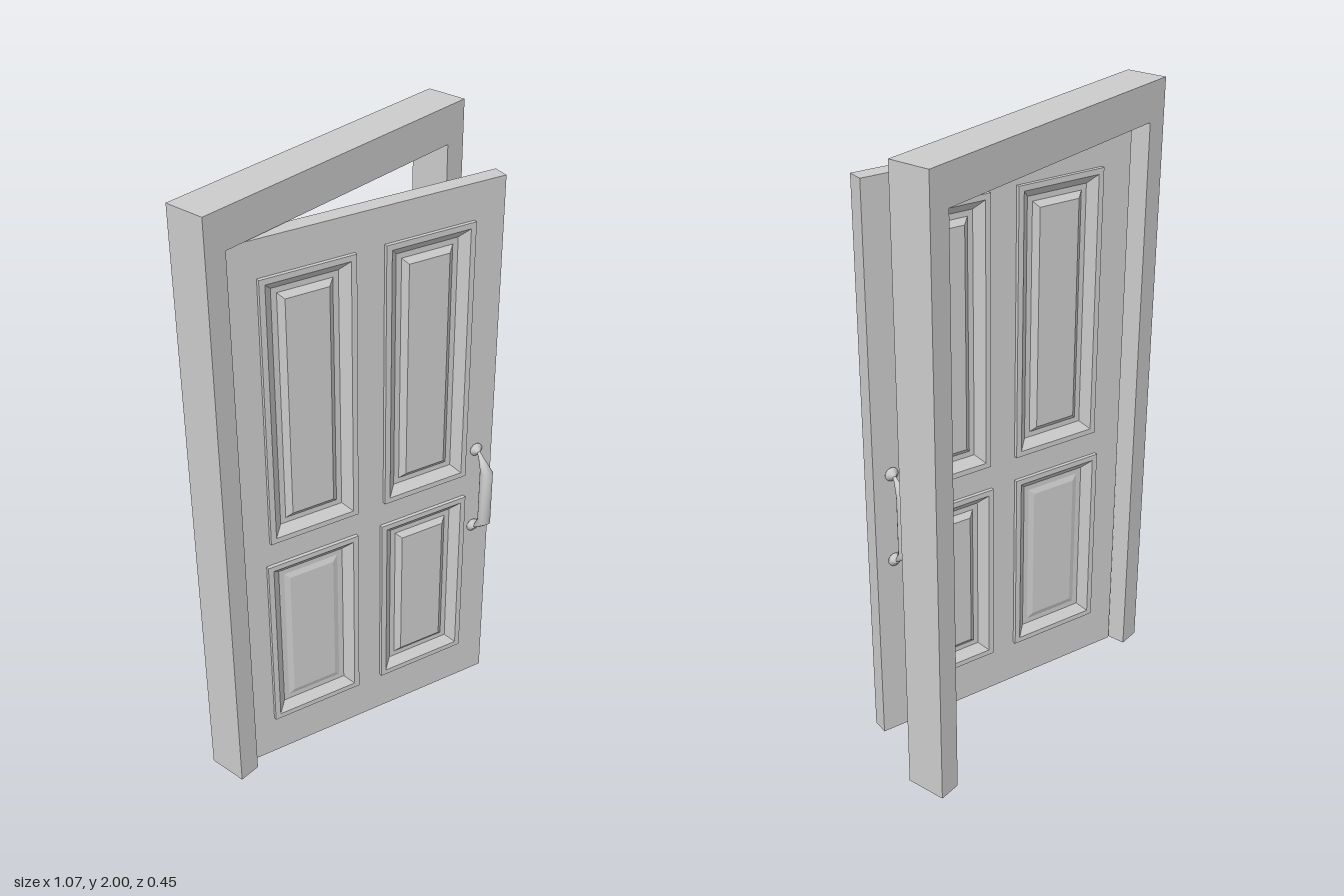
import * as THREE from 'three';

const GREY = new THREE.MeshStandardMaterial({ color: 0xcccccc, flatShading: true });
const SMOOTH = new THREE.MeshStandardMaterial({ color: 0xcccccc });

const DOOR = { w: 0.914, bottom: 0.01, top: 1.876, t: 0.053, angle: 0.32 };
const LIP = 0.018; // width of the raised lip around each panel

// x from hinge edge, y range of each panel
const PANELS = [
  { name: 'upperHingePanel', x0: 0.107, x1: 0.411, y0: 0.875, y1: 1.761, raise: 0.002 },
  { name: 'upperHandlePanel', x0: 0.507, x1: 0.809, y0: 0.875, y1: 1.761, raise: 0.002 },
  { name: 'lowerHingePanel', x0: 0.093, x1: 0.410, y0: 0.159, y1: 0.790, raise: -0.006 },
  { name: 'lowerHandlePanel', x0: 0.497, x1: 0.813, y0: 0.159, y1: 0.790, raise: 0.002 },
];

function mesh(name, geometry, material = GREY) {
  const m = new THREE.Mesh(geometry, material);
  m.name = name;
  return m;
}

function rectPath(path, x0, y0, x1, y1) {
  path.moveTo(x0, y0);
  path.lineTo(x1, y0);
  path.lineTo(x1, y1);
  path.lineTo(x0, y1);
  path.closePath();
  return path;
}

// Joins closed rings of equal length, then caps the ends asked for
function loft(rings, capStart, capEnd) {
  const n = rings[0].length;
  const index = [];
  for (let r = 0; r < rings.length - 1; r++) {
    for (let i = 0; i < n; i++) {
      const a = r * n + i, b = r * n + (i + 1) % n;
      index.push(a, b, b + n, a, b + n, a + n);
    }
  }
  const last = (rings.length - 1) * n;
  for (let i = 1; i < n - 1; i++) {
    if (capStart) index.push(0, i + 1, i);
    if (capEnd) index.push(last, last + i, last + i + 1);
  }
  const g = new THREE.BufferGeometry();
  g.setAttribute('position', new THREE.Float32BufferAttribute(rings.flat(2), 3));
  g.setIndex(index);
  g.computeVertexNormals();
  return g;
}

// Raised lip, bevel into a recess, and a raised centre field
function panelGeometry(w, h, raise) {
  const profile = [[0, 0], [0, 0.012], [LIP, 0.012], [0.046, -0.012], [0.064, -0.012], [0.082, raise]];
  const rings = profile.map(([inset, z]) => {
    const x = w / 2 - inset, y = h / 2 - inset;
    return [[-x, -y, z], [x, -y, z], [x, y, z], [-x, y, z]];
  });
  return loft(rings, false, true).toNonIndexed();
}

// Pull handle: teardrop grip tapering into two arms, each on a flared mount
function makeHandle() {
  const handle = new THREE.Group();
  const half = [[0.152, 0.004, 0.016, 0.006], [0.136, 0.016, 0.040, 0.009], [0.098, 0.033, 0.084, 0.024]];
  const stations = [...half.map(([y, ...s]) => [-y, ...s]), ...half.slice().reverse()];
  const sides = 20;
  const rings = stations.map(([y, z0, z1, r]) => Array.from({ length: sides }, (_, i) => {
    const a = (i / sides) * Math.PI * 2, c = Math.cos(a);
    const taper = 0.75 + 0.35 * c;
    return [Math.sin(a) * r * taper, y, (z0 + z1) / 2 + (c * (z1 - z0)) / 2];
  }));
  handle.add(mesh('grip', loft(rings, true, true), SMOOTH));
  for (const y of [-0.15, 0.15]) {
    const profile = [[0, 0], [0.022, 0], [0.022, 0.004], [0.014, 0.009], [0.008, 0.018], [0, 0.02]];
    const g = new THREE.LatheGeometry(profile.map(p => new THREE.Vector2(...p)), 16);
    g.rotateX(Math.PI / 2);
    const mount = mesh('handleMount', g, SMOOTH);
    mount.position.y = y;
    handle.add(mount);
  }
  return handle;
}

export function createModel() {
  const model = new THREE.Group();
  model.name = 'doorWithFrame';

  // Frame: two jambs and a lintel in one outline
  const outline = new THREE.Shape([
    [-0.537, 0], [-0.463, 0], [-0.463, 1.88], [0.463, 1.88],
    [0.463, 0], [0.537, 0], [0.537, 2], [-0.537, 2],
  ].map(p => new THREE.Vector2(...p)));
  const frame = mesh('doorFrame', new THREE.ExtrudeGeometry(outline, { depth: 0.132, bevelEnabled: false }));
  frame.position.z = -0.226;
  model.add(frame);

  // Door leaf, swung open about its hinge edge; front face at local z = 0
  const door = new THREE.Group();
  door.name = 'door';
  door.position.set(-0.463, 0, -0.124);
  door.rotation.y = -DOOR.angle;
  model.add(door);

  const leaf = rectPath(new THREE.Shape(), 0, DOOR.bottom, DOOR.w, DOOR.top);
  for (const p of PANELS) {
    leaf.holes.push(rectPath(new THREE.Path(), p.x0 + LIP, p.y0 + LIP, p.x1 - LIP, p.y1 - LIP));
  }
  const slab = mesh('doorLeaf', new THREE.ExtrudeGeometry(leaf, { depth: DOOR.t, bevelEnabled: false }));
  slab.position.z = -DOOR.t;
  door.add(slab);

  // Panels and handles on both faces
  for (const side of ['front', 'back']) {
    const z = side === 'front' ? 0 : -DOOR.t;
    const turn = side === 'front' ? 0 : Math.PI;
    for (const p of PANELS) {
      const panel = mesh(`${side} ${p.name}`, panelGeometry(p.x1 - p.x0, p.y1 - p.y0, p.raise));
      panel.position.set((p.x0 + p.x1) / 2, (p.y0 + p.y1) / 2, z);
      panel.rotation.y = turn;
      door.add(panel);
    }
    const handle = makeHandle();
    handle.name = `${side} handle`;
    handle.position.set(0.853, 0.806, z);
    handle.rotation.y = turn;
    door.add(handle);
  }
  return model;
}
